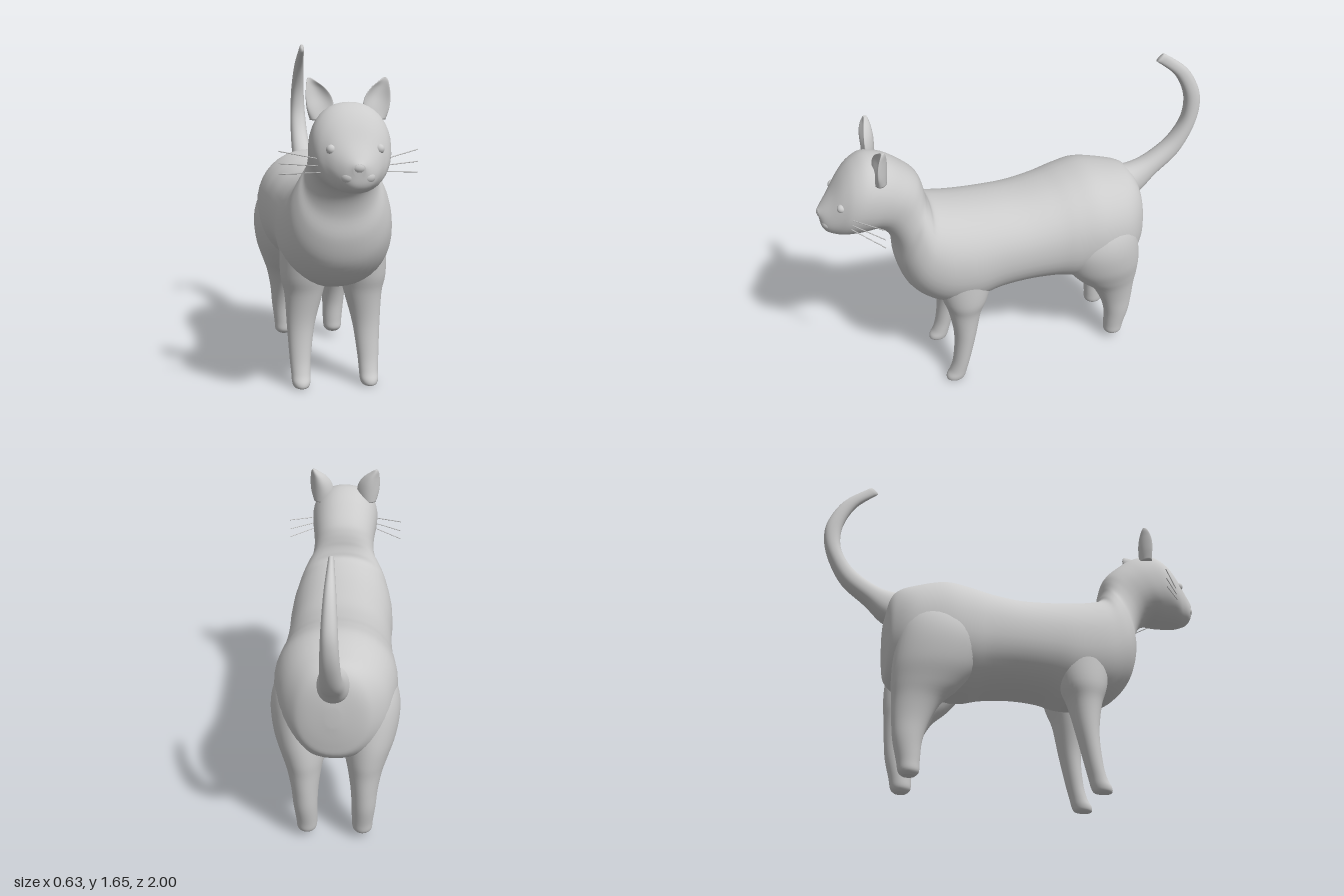
import * as THREE from 'three';

const material = new THREE.MeshStandardMaterial({ color: 0xcccccc });
const SIDES = 40;

function addMesh(parent, name, geometry) {
  const mesh = new THREE.Mesh(geometry, material);
  mesh.name = name;
  parent.add(mesh);
  return mesh;
}

// Smoothly interpolates rows of section parameters.
function refine(rows, steps = 5) {
  const out = [];
  for (let i = 0; i < rows.length - 1; i++) {
    const [a, b, c, d] = [i - 1, i, i + 1, i + 2].map((k) => rows[THREE.MathUtils.clamp(k, 0, rows.length - 1)]);
    for (let s = 0; s < steps; s++) {
      const t = s / steps;
      out.push(b.map((v, k) => v + 0.5 * t * (c[k] - a[k]
        + t * (2 * a[k] - 5 * v + 4 * c[k] - d[k] + t * (3 * (v - c[k]) + d[k] - a[k])))));
    }
  }
  out.push(rows[rows.length - 1]);
  return out;
}

// Skins closed rings made by point(row, angle), capping both ends.
function loft(rows, point) {
  const fine = refine(rows);
  const pos = [];
  let index = [];
  for (const row of fine) {
    for (let j = 0; j < SIDES; j++) pos.push(...point(row, (j / SIDES) * Math.PI * 2));
  }
  for (let i = 0; i < fine.length - 1; i++) {
    for (let j = 0; j < SIDES; j++) {
      const k = (j + 1) % SIDES;
      const a = i * SIDES + j, b = i * SIDES + k;
      index.push(a, b, a + SIDES, b, b + SIDES, a + SIDES);
    }
  }
  [0, fine.length - 1].forEach((r, end) => {
    const mid = [0, 0, 0];
    for (let j = 0; j < SIDES; j++) for (let k = 0; k < 3; k++) mid[k] += pos[(r * SIDES + j) * 3 + k] / SIDES;
    const centre = pos.length / 3;
    pos.push(...mid);
    for (let j = 0; j < SIDES; j++) {
      const a = r * SIDES + j, b = r * SIDES + (j + 1) % SIDES;
      if (end) index.push(a, b, centre); else index.push(b, a, centre);
    }
  });
  // Turn the faces outward if the enclosed volume is negative.
  const at = (i) => new THREE.Vector3().fromArray(pos, i * 3);
  let volume = 0;
  for (let i = 0; i < index.length; i += 3) volume += at(index[i]).dot(at(index[i + 1]).cross(at(index[i + 2])));
  if (volume < 0) index = index.reverse();
  const geometry = new THREE.BufferGeometry();
  geometry.setAttribute('position', new THREE.Float32BufferAttribute(pos, 3));
  geometry.setIndex(index);
  geometry.computeVertexNormals();
  return geometry;
}

const round = (v) => Math.sign(v) * Math.abs(v) ** 0.92;

// Row: upper z, upper y, lower z, lower y, half width.
const spinePoint = ([z1, y1, z2, y2, w], a) => {
  const c = round(Math.cos(a));
  return [w * round(Math.sin(a)), (y1 + y2) / 2 + c * (y1 - y2) / 2, (z1 + z2) / 2 + c * (z1 - z2) / 2];
};

const torso = [
  [-0.672, 0.84, -0.672, 0.74, 0.03], [-0.655, 0.96, -0.66, 0.62, 0.14],
  [-0.61, 1.03, -0.64, 0.55, 0.2], [-0.52, 1.06, -0.56, 0.5, 0.265],
  [-0.38, 1.09, -0.4, 0.49, 0.3], [-0.26, 1.075, -0.26, 0.49, 0.295],
  [-0.15, 1.05, -0.15, 0.515, 0.28], [0, 1.03, 0, 0.53, 0.272],
  [0.15, 1.035, 0.15, 0.52, 0.27], [0.3, 1.05, 0.28, 0.485, 0.275],
  [0.4, 1.07, 0.42, 0.5, 0.27], [0.45, 1.09, 0.52, 0.55, 0.255],
  [0.465, 1.12, 0.6, 0.64, 0.235], [0.475, 1.15, 0.64, 0.76, 0.205],
];
const neckAndHead = [
  [0.48, 1.18, 0.645, 0.87, 0.175], [0.49, 1.22, 0.67, 0.95, 0.163],
  [0.51, 1.26, 0.71, 1.0, 0.163], [0.56, 1.31, 0.76, 1.02, 0.17],
  [0.64, 1.37, 0.81, 1.015, 0.178], [0.73, 1.4, 0.86, 1.015, 0.178],
  [0.8, 1.375, 0.9, 1.015, 0.16], [0.86, 1.32, 0.93, 1.02, 0.128],
  [0.92, 1.235, 0.965, 1.035, 0.09], [0.965, 1.18, 0.982, 1.06, 0.058],
  [0.993, 1.15, 0.988, 1.1, 0.025],
];
const tail = [
  [-0.54, 1.04, -0.56, 0.82, 0.1], [-0.62, 1.035, -0.68, 0.875, 0.075],
  [-0.72, 1.065, -0.77, 0.96, 0.058], [-0.83, 1.14, -0.89, 1.06, 0.05],
  [-0.895, 1.23, -0.965, 1.19, 0.045], [-0.915, 1.32, -0.997, 1.31, 0.04],
  [-0.9, 1.42, -0.985, 1.42, 0.035], [-0.84, 1.53, -0.91, 1.55, 0.026],
  [-0.735, 1.62, -0.775, 1.655, 0.012],
];

// Leg rows: y, x, z, x radius, z radius.
const frontLeg = [
  [0.72, 0.13, 0.32, 0.13, 0.16], [0.55, 0.145, 0.325, 0.115, 0.12],
  [0.45, 0.147, 0.33, 0.093, 0.085], [0.3, 0.162, 0.337, 0.068, 0.057],
  [0.15, 0.168, 0.36, 0.053, 0.045], [0.07, 0.168, 0.38, 0.047, 0.045],
  [0.03, 0.168, 0.396, 0.045, 0.051], [0.008, 0.168, 0.402, 0.037, 0.046], [0, 0.168, 0.405, 0.02, 0.03],
];
const hindLeg = [
  [0.9, 0.14, -0.4, 0.11, 0.17], [0.8, 0.16, -0.4, 0.14, 0.2],
  [0.7, 0.17, -0.405, 0.146, 0.21], [0.58, 0.165, -0.43, 0.135, 0.2],
  [0.48, 0.155, -0.467, 0.11, 0.165], [0.4, 0.15, -0.505, 0.086, 0.12],
  [0.3, 0.147, -0.53, 0.068, 0.09], [0.2, 0.145, -0.54, 0.06, 0.07],
  [0.1, 0.14, -0.532, 0.053, 0.055], [0.05, 0.14, -0.528, 0.048, 0.049], [0.03, 0.14, -0.528, 0.028, 0.03],
];
// Ear rows: y, x, z, half width, half thickness, hollow depth.
const ear = [
  [1.32, 0.125, 0.71, 0.045, 0.03, 0.005], [1.37, 0.125, 0.72, 0.06, 0.025, 0.025],
  [1.42, 0.132, 0.722, 0.058, 0.018, 0.036], [1.46, 0.145, 0.715, 0.043, 0.014, 0.03],
  [1.49, 0.162, 0.703, 0.022, 0.012, 0.014], [1.505, 0.17, 0.693, 0.008, 0.008, 0.002],
];

export function createModel() {
  const cat = new THREE.Group();
  cat.name = 'cat';
  addMesh(cat, 'bodyAndHead', loft([...torso, ...neckAndHead], spinePoint));
  addMesh(cat, 'tail', loft(tail, spinePoint));

  const nose = addMesh(cat, 'nose', new THREE.SphereGeometry(1, 20, 14));
  nose.scale.set(0.036, 0.028, 0.03);
  nose.position.set(0, 1.135, 0.968);

  for (const side of [1, -1]) {
    const label = side > 0 ? 'left' : 'right';
    const legPoint = ([y, x, z, rx, rz], a) => [side * (x + rx * Math.cos(a)), y, z + rz * Math.sin(a)];
    addMesh(cat, label + 'FrontLeg', loft(frontLeg, legPoint));
    addMesh(cat, label + 'HindLeg', loft(hindLeg, legPoint));

    // Crescent sections leave the ear hollow at the front.
    addMesh(cat, label + 'Ear', loft(ear, ([y, x, z, w, t, d], a) =>
      [side * (x + w * Math.cos(a)), y, z + t * Math.sin(a) - d * Math.sin(a) ** 2]));

    const eye = addMesh(cat, label + 'Eye', new THREE.SphereGeometry(0.022, 20, 14));
    eye.position.set(side * 0.105, 1.205, 0.892);

    const cheek = addMesh(cat, label + 'MuzzlePad', new THREE.SphereGeometry(1, 20, 14));
    cheek.scale.set(0.042, 0.034, 0.04);
    cheek.position.set(side * 0.036, 1.092, 0.945);

    // Three thin whiskers fan out and back.
    const whiskers = new THREE.Group();
    whiskers.name = label + 'Whiskers';
    cat.add(whiskers);
    [[1.15, 1.187], [1.132, 1.133], [1.113, 1.085]].forEach(([y0, y1]) => {
      const path = new THREE.LineCurve3(
        new THREE.Vector3(side * 0.07, y0, 0.92), new THREE.Vector3(side * 0.312, y1, 0.74));
      addMesh(whiskers, 'whisker', new THREE.TubeGeometry(path, 1, 0.0025, 6));
    });
  }
  return cat;
}
